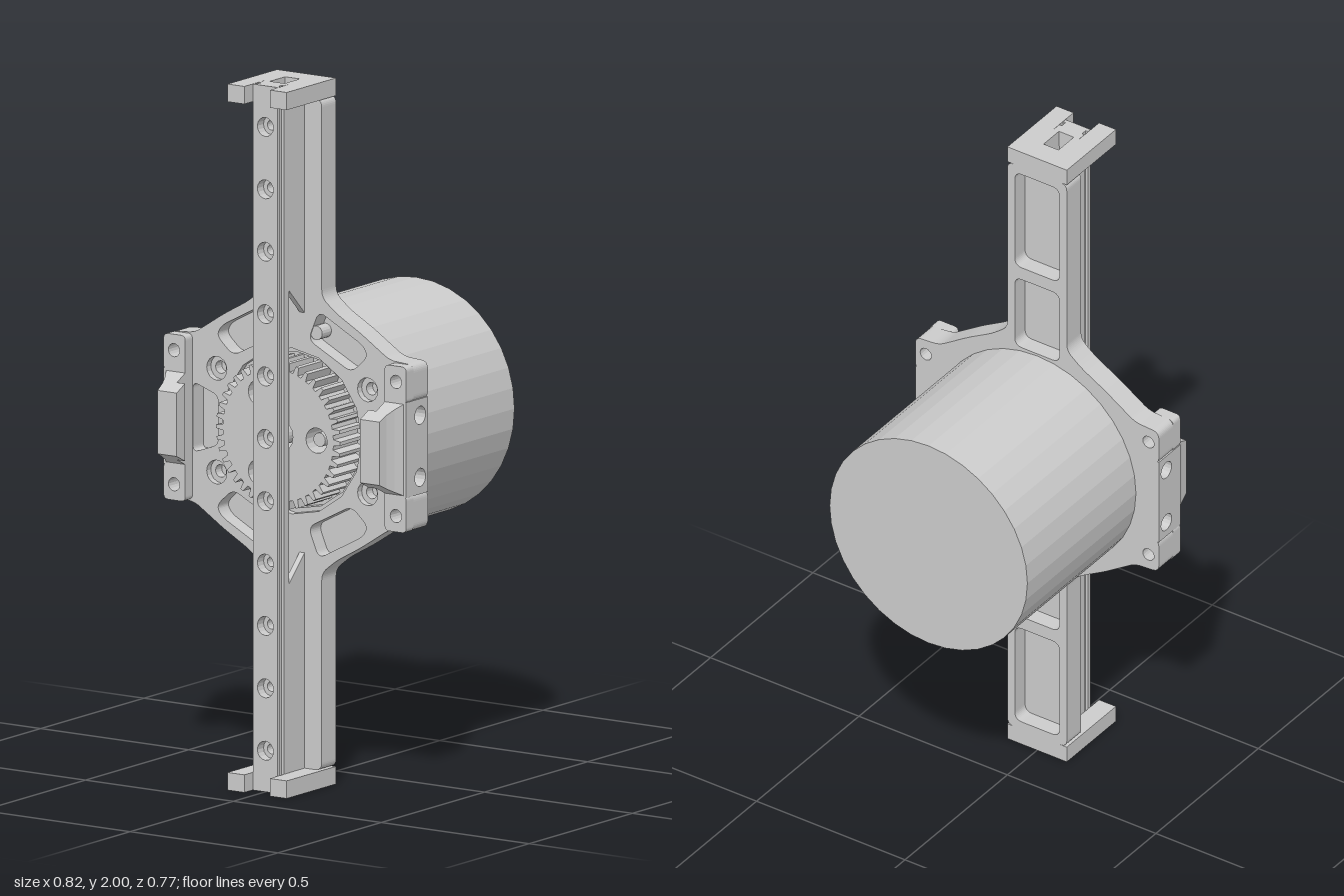
import * as THREE from 'three';

// All parts are built around y = 0 and lifted by 1 at the end.
const material = new THREE.MeshStandardMaterial({ color: 0xcccccc, flatShading: true });

function add(parent, name, geometry) {
  const mesh = new THREE.Mesh(geometry, material);
  mesh.name = name;
  parent.add(mesh);
  return mesh;
}

// Polygon with rounded corners
function rounded(points, r, Type = THREE.Shape) {
  const path = new Type();
  const v = points.map(p => new THREE.Vector2(p[0], p[1]));
  v.forEach((p, i) => {
    const prev = v[(i + v.length - 1) % v.length], next = v[(i + 1) % v.length];
    const toward = q => p.clone().lerp(q, Math.min(r / p.distanceTo(q), 0.45));
    const a = toward(prev), b = toward(next);
    if (i === 0) path.moveTo(a.x, a.y); else path.lineTo(a.x, a.y);
    path.quadraticCurveTo(p.x, p.y, b.x, b.y);
  });
  path.closePath();
  return path;
}
const polygon = points => new THREE.Shape(points.map(p => new THREE.Vector2(p[0], p[1])));
const rect = (x0, y0, x1, y1) => [[x0, y0], [x1, y0], [x1, y1], [x0, y1]];
const circle = (x, y, r) => new THREE.Path().absarc(x, y, r, 0, Math.PI * 2, true);

// Extrusions along z, y (shape in x,z) and x (shape in -z,y)
function alongZ(shape, z0, z1, holes = []) {
  shape.holes = holes;
  return new THREE.ExtrudeGeometry(shape, { depth: z1 - z0, bevelEnabled: false, curveSegments: 8 }).translate(0, 0, z0);
}
const alongY = (shape, y0, y1, holes) => alongZ(shape, -y1, -y0, holes).rotateX(Math.PI / 2);
const alongX = (shape, x0, x1, holes) => alongZ(shape, x0, x1, holes).rotateY(Math.PI / 2);

// Repeat points or holes in all four quadrants
const quadrants = fn => [[1, 1], [-1, 1], [-1, -1], [1, -1]].flatMap(([sx, sy]) => fn(sx, sy));

// Quarter outline of the mount with its arm, mirrored to a closed loop
function mountOutline() {
  const quarter = [[0.37, 0.13], [0.41, 0.13], [0.41, 0.235], [0.33, 0.24], [0.23, 0.305],
    [0.15, 0.35], [0.1, 0.39], [0.1, 0.95]];
  const flip = (sx, sy) => quarter.map(([x, y]) => [x * sx, y * sy]);
  return rounded([...flip(1, 1), ...flip(-1, 1).reverse(), ...flip(-1, -1), ...flip(1, -1).reverse()], 0.022);
}

function buildMount(model) {
  const cornerHoles = () => quadrants((sx, sy) => [circle(sx * 0.375, sy * 0.19, 0.019)]);
  const armPockets = () => [1, -1].flatMap(s => [
    rounded(rect(-0.075, s * 0.61, 0.075, s * 0.95 - s * 0.025), 0.025, THREE.Path),
    rounded(rect(-0.075, s * 0.34, 0.075, s * 0.57), 0.025, THREE.Path)]);
  const facePockets = () => [
    ...quadrants((sx, sy) => [rounded(
      [[0.055, 0.265], [0.2, 0.19], [0.255, 0.24], [0.24, 0.27], [0.09, 0.35]].map(([x, y]) => [x * sx, y * sy]),
      0.025, THREE.Path)]),
    ...[1, -1].map(s => rounded(
      [[0.25, -0.07], [0.335, -0.1], [0.335, 0.1], [0.25, 0.07]].map(([x, y]) => [x * s, y]), 0.02, THREE.Path))];
  const screwHoles = r => quadrants((sx, sy) => [circle(sx * 0.255, sy * 0.147, r)]);

  add(model, 'mountBack', alongZ(mountOutline(), 0.145, 0.165, [...cornerHoles(), ...armPockets()]));
  add(model, 'mountCore', alongZ(mountOutline(), 0.165, 0.195,
    [...cornerHoles(), ...armPockets(), ...facePockets(), ...screwHoles(0.018), circle(0, 0, 0.222)]));
  add(model, 'mountFace', alongZ(mountOutline(), 0.195, 0.215,
    [...cornerHoles(), ...facePockets(), ...screwHoles(0.034), circle(0, 0, 0.235)]));
  // Small guide pins at the edge of two pockets
  for (const s of [1, -1]) {
    add(model, 'guidePin', new THREE.CylinderGeometry(0.02, 0.02, 0.045, 16)
      .rotateX(Math.PI / 2).translate(s * 0.08, s * 0.287, 0.19));
  }
}

// Side bracket: raised tab, drilled edge block and hooked claw
function buildBracket() {
  const bracket = new THREE.Group();
  bracket.name = 'sideBracket';
  const tab = rounded([[0.337, -0.235], [0.41, -0.235], [0.41, -0.13], [0.37, -0.13],
    [0.37, 0.13], [0.41, 0.13], [0.41, 0.235], [0.337, 0.235]], 0.015);
  add(bracket, 'raisedTab', alongZ(tab, 0.215, 0.25, [circle(0.375, 0.19, 0.019), circle(0.375, -0.19, 0.019)]));
  add(bracket, 'drilledEdge', alongX(polygon(rect(-0.25, -0.135, -0.145, 0.135)), 0.37, 0.41,
    [circle(-0.182, 0.088, 0.026), circle(-0.182, -0.088, 0.026)]));
  const claw = polygon([[0.337, 0.249], [0.402, 0.249], [0.388, 0.275], [0.379, 0.3], [0.375, 0.33],
    [0.31, 0.33], [0.31, 0.29], [0.337, 0.29]]);
  const geometry = alongY(claw, -0.13, 0.13);
  // Narrow the claw toward its tip
  const p = geometry.attributes.position;
  for (let i = 0; i < p.count; i++) p.setY(i, p.getY(i) * (1 - 0.31 * (p.getZ(i) - 0.249) / 0.081));
  geometry.computeVertexNormals();
  add(bracket, 'claw', geometry);
  return bracket;
}

// Arm end: slotted cap and the two ribs that carry the rail
function buildArmEnd() {
  const arm = new THREE.Group();
  arm.name = 'armEnd';
  const cap = polygon([[-0.1, 0.145], [0.1, 0.145], [0.1, 0.385], [0.043, 0.385], [0.043, 0.29],
    [-0.043, 0.29], [-0.043, 0.385], [-0.1, 0.385]]);
  add(arm, 'endCap', alongY(cap, 0.95, 1, [new THREE.Path(rect(-0.025, 0.213, 0.025, 0.288).map(p => new THREE.Vector2(...p)))]));
  for (const x of [-0.042, 0.025]) {
    const rib = polygon([[-0.215, 0.34], [-0.215, 0.95], [-0.29, 0.95], [-0.29, 0.415]]);
    add(arm, 'railRib', alongX(rib, x, x + 0.017));
  }
  return arm;
}

// Guide rail in three layers: base, grooved waist and head with counterbores
function buildRail(model) {
  const rail = new THREE.Group();
  rail.name = 'guideRail';
  const layers = [[0.042, 0.29, 0.315, 0.014], [0.034, 0.315, 0.333, 0.027], [0.042, 0.333, 0.345, 0.027]];
  for (const [w, z0, z1, r] of layers) {
    const holes = [];
    for (let i = -5; i <= 5; i++) holes.push(circle(0, i * 0.1767, r));
    add(rail, 'railLayer', alongZ(polygon(rect(-w, -1, w, 1)), z0, z1, holes));
  }
  model.add(rail);
}

// Toothed wheel with three bores and their pins
function buildGear(model) {
  const gear = new THREE.Group();
  gear.name = 'gear';
  const teeth = 40, points = [];
  for (let i = 0; i < teeth; i++) {
    for (const [t, r] of [[-0.3, 0.187], [-0.15, 0.21], [0.15, 0.21], [0.3, 0.187]]) {
      const a = (i + t) / teeth * Math.PI * 2;
      points.push([Math.cos(a) * r, Math.sin(a) * r]);
    }
  }
  const centres = [0, 1, 2].map(i => [0.13 * Math.cos(i * Math.PI * 2 / 3), 0.13 * Math.sin(i * Math.PI * 2 / 3)]);
  add(gear, 'toothedWheel', alongZ(polygon(points), 0.165, 0.283,
    [circle(0, 0, 0.05), ...centres.map(([x, y]) => circle(x, y, 0.036))]));
  for (const [x, y] of centres) {
    add(gear, 'gearPin', new THREE.CylinderGeometry(0.02, 0.02, 0.105, 16).rotateX(Math.PI / 2).translate(x, y, 0.217));
  }
  add(gear, 'shaft', new THREE.CylinderGeometry(0.03, 0.03, 0.11, 20).rotateX(Math.PI / 2).translate(0, 0, 0.22));
  model.add(gear);
}

export function createModel() {
  const root = new THREE.Group();
  root.name = 'gearedMotorMount';
  const model = new THREE.Group();
  model.name = 'assembly';
  model.position.y = 1;
  root.add(model);

  add(model, 'motorBody', new THREE.CylinderGeometry(0.333, 0.333, 0.53, 36).rotateX(Math.PI / 2).translate(0, 0, -0.12));
  buildMount(model);
  buildGear(model);
  buildRail(model);
  for (const turn of [0, Math.PI]) {
    for (const part of [buildBracket(), buildArmEnd()]) {
      part.rotation.z = turn;
      model.add(part);
    }
  }
  return root;
}
